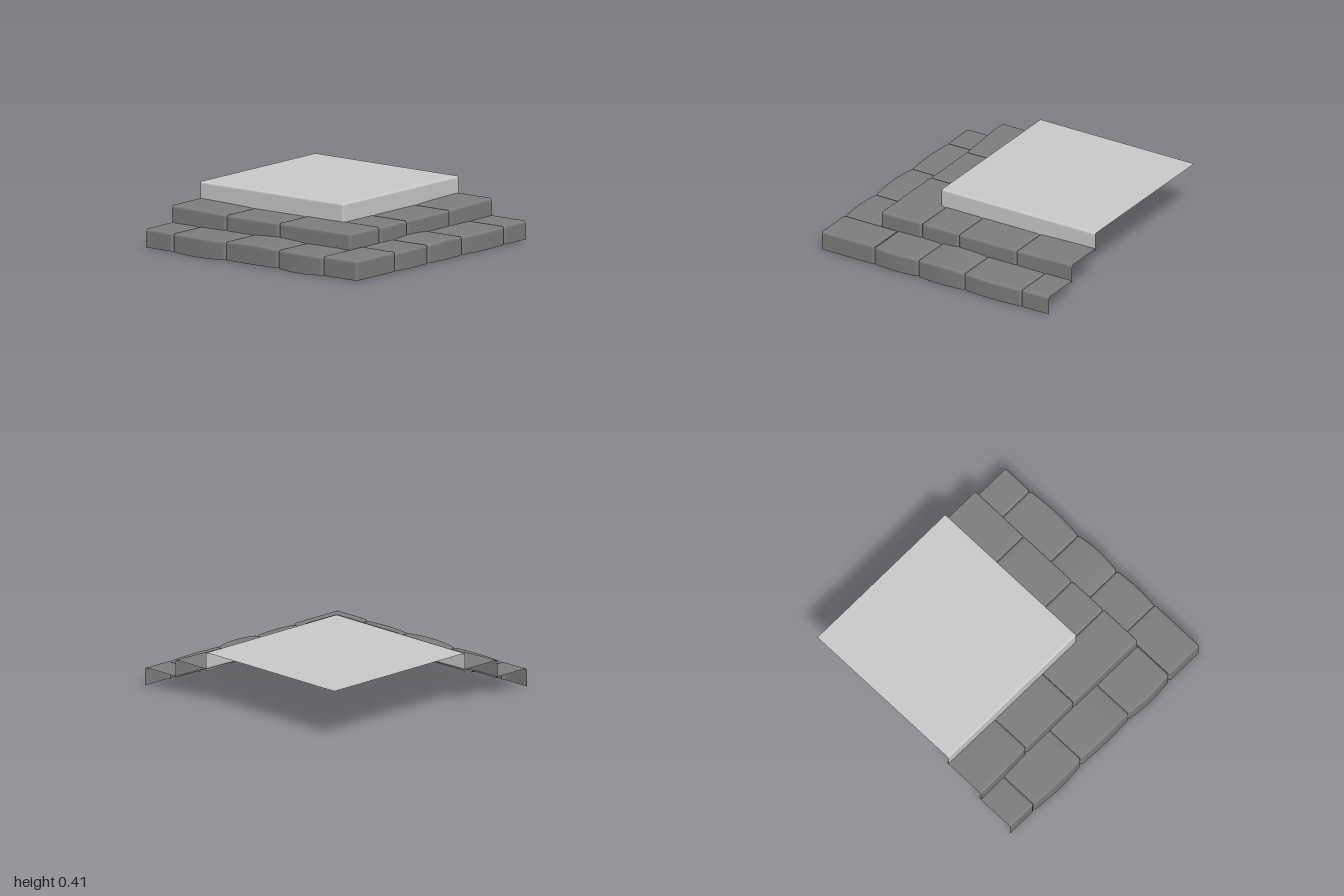
import * as THREE from 'three';

const stoneMat = new THREE.MeshStandardMaterial({ color: 0x7c7f7d, side: THREE.DoubleSide });
const slabMat = new THREE.MeshStandardMaterial({ color: 0xcccccc, side: THREE.DoubleSide });

// Stations [position, drop] across a block; each end is 'cut' (open), 'joint' (groove) or 'wall' (face to the ground)
function stations(a, b, startType, endType, r, height) {
  const end = (type) => {
    if (type === 'cut') return [[0, 0]];
    if (type === 'joint') return [[0, 0.016], [0.005, 0.007], [0.014, 0.001], [0.022, 0]];
    const list = [[0, height], [0, r + 0.01]];
    for (let k = 0; k <= 4; k++) {
      const t = (k / 4) * Math.PI / 2;
      list.push([r * (1 - Math.sin(t)), r * (1 - Math.sin(Math.PI / 2 - t))].map((v) => Math.max(v, 0)));
    }
    // quarter circle from the wall (drop r) up to the top (drop 0)
    for (let k = 0; k <= 4; k++) {
      const t = (k / 4) * Math.PI / 2;
      list[k + 2] = [r * (1 - Math.cos(t)), r * (1 - Math.sin(t))];
    }
    list.push([r + 0.012, 0]);
    return list;
  };
  const start = end(startType).map(([d, h]) => [a + d, h]);
  const finish = end(endType).map(([d, h]) => [b - d, h]).reverse();
  const p = start[start.length - 1][0], q = finish[0][0], middle = [];
  for (let k = 1; k < 8; k++) middle.push([p + (q - p) * k / 8, 0]);
  return [...start, ...middle, ...finish];
}

// Open-backed block: a grid folded down over its wall edges, swelling along its length
function block(name, o) {
  const { x, z, top, bottom, ends, r = 0.018, along = 'x', rise = 0, out = 0, sag = 0, material = stoneMat } = o;
  const H = top - bottom;
  const xs = stations(x[0], x[1], ends[0], ends[1], r, H);
  const zs = stations(z[0], z[1], ends[2], ends[3], r, H);
  const wallX = ends[1] === 'wall', wallZ = ends[3] === 'wall';
  const range = along === 'x' ? x : z;
  const cut = (along === 'x' ? ends[0] : ends[2]) === 'cut';
  const pos = [], index = [];
  for (const [pz, dz] of zs) {
    for (const [px, dx] of xs) {
      let X = px, Z = pz;
      const drop = Math.max(dx, dz);
      let t = ((along === 'x' ? px : pz) - range[0]) / (range[1] - range[0]);
      if (cut) t = 0.5 + t / 2;
      const swell = Math.sin(Math.PI * t);
      if (wallX && wallZ) {
        // round the upright corner
        const u = px - (x[1] - r), v = pz - (z[1] - r);
        if (u > 0 && v > 0) {
          const s = Math.max(u, v) / Math.hypot(u, v);
          X = x[1] - r + u * s;
          Z = z[1] - r + v * s;
        }
      }
      // grooves run down the outer face, which bows outward
      if (wallZ && pz > z[1] - r - 0.001) Z += (px < x[0] + 0.03 || !wallX ? -dx : 0) + out * swell;
      if (wallX && px > x[1] - r - 0.001) X += (pz < z[0] + 0.03 || !wallZ ? -dz : 0) + out * swell;
      const y = drop >= H - 1e-6 ? bottom - sag * swell : top - drop + rise * swell;
      pos.push(X, y, Z);
    }
  }
  const n = xs.length;
  for (let j = 0; j < zs.length - 1; j++) {
    for (let i = 0; i < n - 1; i++) {
      const a = j * n + i, b = a + n;
      index.push(a, b, a + 1, a + 1, b, b + 1);
    }
  }
  const geo = new THREE.BufferGeometry();
  geo.setAttribute('position', new THREE.Float32BufferAttribute(pos, 3));
  geo.setIndex(index);
  geo.computeVertexNormals();
  const mesh = new THREE.Mesh(geo, material);
  mesh.name = name;
  return mesh;
}

// A run of stones along one side; joints lists the stone ends, swells is [rise, out, sag] per stone
function row(name, along, joints, inner, outer, top, bottom, swells) {
  const group = new THREE.Group();
  group.name = name;
  swells.forEach(([rise, out, sag], i) => {
    const span = [joints[i], joints[i + 1]], depth = [inner, outer];
    const first = i === 0 ? 'cut' : 'joint';
    group.add(block(`${name}Stone${i + 1}`, {
      x: along === 'x' ? span : depth,
      z: along === 'x' ? depth : span,
      ends: along === 'x' ? [first, 'joint', 'cut', 'wall'] : ['cut', 'wall', first, 'joint'],
      top, bottom, along, rise, out, sag,
    }));
  });
  return group;
}

export function createModel() {
  const model = new THREE.Group();
  model.name = 'cornerSteps';

  // Lower step
  model.add(row('lowerFront', 'x', [-1, -0.75, -0.255, 0.242, 0.668], 0.655, 0.982, 0.148, 0.01,
    [[0.002, 0, 0], [0, 0.013, 0.01], [0.013, 0.009, 0], [0.002, 0.015, 0.01]]));
  model.add(row('lowerRight', 'z', [-1, -0.755, -0.258, 0.142, 0.525], 0.66, 0.982, 0.148, 0.01,
    [[0.002, 0, 0], [0, 0.014, 0], [0.012, 0.014, 0], [0.002, 0.012, 0]]));
  model.add(block('lowerCornerStone', {
    x: [0.668, 0.985], z: [0.525, 0.985], top: 0.157, bottom: 0.01, ends: ['joint', 'wall', 'joint', 'wall'],
  }));

  // Upper step
  model.add(row('upperFront', 'x', [-1, -0.505, -0.008], 0.33, 0.663, 0.267, 0.138,
    [[0.012, 0.017, 0], [0, 0, 0]]));
  model.add(row('upperRight', 'z', [-1, -0.51, -0.01, 0.312], 0.335, 0.665, 0.267, 0.138,
    [[0.012, 0, 0], [0, 0, 0], [0, 0, 0]]));
  model.add(block('upperCornerStone', {
    x: [-0.008, 0.667], z: [0.312, 0.664], top: 0.27, bottom: 0.138, ends: ['joint', 'wall', 'joint', 'wall'],
  }));

  // Smooth landing slab
  model.add(block('landingSlab', {
    x: [-1, 0.347], z: [-1, 0.347], top: 0.405, bottom: 0.262, r: 0.014,
    ends: ['cut', 'wall', 'cut', 'wall'], material: slabMat,
  }));
  return model;
}
